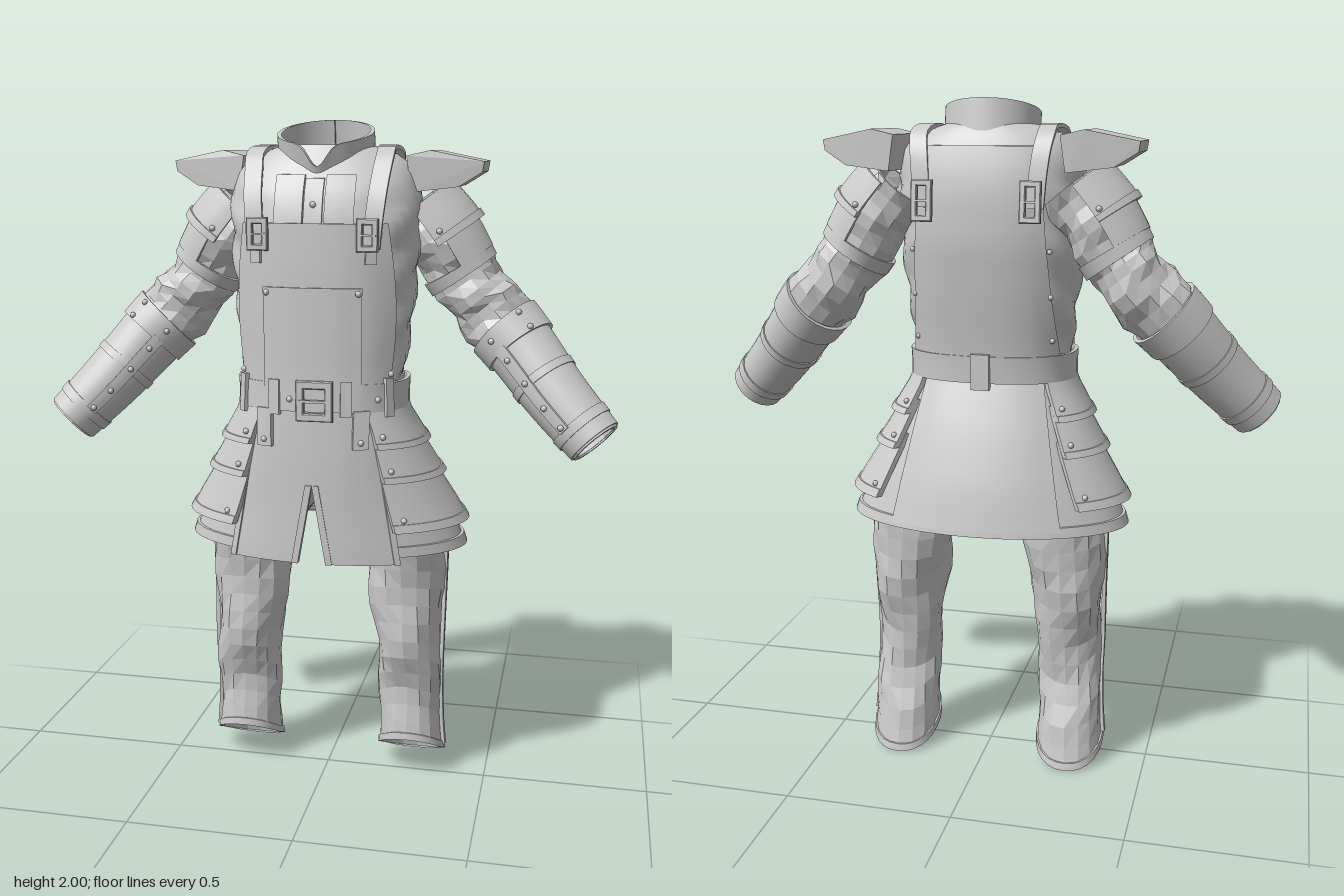
import * as THREE from 'three';
import { mergeGeometries, toCreasedNormals } from 'three/addons/utils/BufferGeometryUtils.js';
import { ConvexGeometry } from 'three/addons/geometries/ConvexGeometry.js';

const V = (x, y, z) => new THREE.Vector3(x, y, z);
const { lerp, clamp, smoothstep } = THREE.MathUtils;
const PI = Math.PI;
const smoothMat = new THREE.MeshStandardMaterial({ color: 0xcccccc, side: THREE.DoubleSide });
const foldMat = new THREE.MeshStandardMaterial({ color: 0xcccccc, side: THREE.DoubleSide, flatShading: true });

// Cross-section tables, bottom to top
const BODY = [ // y, half width, front z, back z
  [0.74, 0.425, 0.225, -0.25], [0.78, 0.415, 0.225, -0.245], [0.9, 0.365, 0.222, -0.22], [1.05, 0.295, 0.22, -0.17],
  [1.2, 0.232, 0.215, -0.11], [1.3, 0.235, 0.212, -0.12], [1.45, 0.255, 0.212, -0.145], [1.6, 0.268, 0.212, -0.165],
  [1.72, 0.275, 0.208, -0.165], [1.8, 0.272, 0.185, -0.155], [1.86, 0.255, 0.15, -0.14], [1.9, 0.215, 0.125, -0.12],
  [1.93, 0.125, 0.11, -0.1]];
const LEG = [ // y, centre x, half width, front z, back z
  [0, 0.267, 0.106, 0.082, -0.16], [0.15, 0.262, 0.096, 0.062, -0.128], [0.27, 0.26, 0.093, 0.052, -0.102],
  [0.4, 0.255, 0.1, 0.09, -0.108], [0.55, 0.247, 0.11, 0.1, -0.148], [0.7, 0.242, 0.118, 0.105, -0.165],
  [0.8, 0.225, 0.135, 0.115, -0.16], [0.9, 0.175, 0.17, 0.13, -0.15], [1.15, 0.1, 0.13, 0.14, -0.09]];
const ARM_RADII = [0.1, 0.108, 0.1, 0.104, 0.098, 0.088, 0.077];
const armCurve = new THREE.CatmullRomCurve3([V(0.25, 1.76, -0.07), V(0.325, 1.665, -0.07), V(0.395, 1.555, -0.075),
  V(0.465, 1.465, -0.075), V(0.55, 1.375, -0.045), V(0.67, 1.235, 0.02), V(0.8, 1.1, 0.08)]);

function sample(table, y) {
  let i = 0;
  while (i < table.length - 2 && table[i + 1][0] < y) i++;
  const k = clamp((y - table[i][0]) / (table[i + 1][0] - table[i][0]), 0, 1);
  return table[i].slice(1).map((v, j) => lerp(v, table[i + 1][j + 1], k));
}
const pw = (c, e) => Math.sign(c) * Math.abs(c) ** (2 / e);
// The torso is boxier than the skirt
const squareness = y => lerp(2, 2.4, smoothstep(y, 0.85, 1.2));

// Surfaces: angle 0 is the front, growing towards +x; d is the offset outwards
function bodyAt(a, y, d = 0) {
  const [rx, zf, zb] = sample(BODY, y), e = squareness(y);
  return V(pw(Math.sin(a), e) * (rx + d), y, (zf + zb) / 2 + pw(Math.cos(a), e) * ((zf - zb) / 2 + d));
}
function faceAt(x, y, d = 0, back = false) {
  const a = Math.sign(x) * Math.asin(Math.min(1, Math.abs(x) / sample(BODY, y)[0]) ** (squareness(y) / 2));
  return bodyAt(back ? PI - a : a, y, d);
}
function legAt(a, y, d = 0) {
  const [cx, rx, zf, zb] = sample(LEG, y);
  return V(cx + pw(Math.sin(a), 2.2) * (rx + d), y, (zf + zb) / 2 + pw(Math.cos(a), 2.2) * ((zf - zb) / 2 + d));
}
// Angle 0 is the outer, upper side of the arm; a quarter turn is its front
function armAt(a, t, d = 0) {
  const dir = armCurve.getTangent(t), n = V(0, 0, 1).cross(dir).normalize(), b = dir.clone().cross(n);
  const i = Math.min(5, Math.floor(t * 6)), r = lerp(ARM_RADII[i], ARM_RADII[i + 1], t * 6 - i) + d;
  return armCurve.getPoint(t).addScaledVector(n, Math.cos(a) * r).addScaledVector(b, Math.sin(a) * r);
}

// Panel over a surface fn(u, v, d), its border folded inwards to give thickness
function shell(fn, nu, nv, d, depth = 0.012) {
  const pos = [], idx = [], w = nu + 3;
  for (let j = 0; j < nv + 3; j++) for (let i = 0; i < w; i++) {
    const rim = i === 0 || j === 0 || i === nu + 2 || j === nv + 2;
    const u = clamp((i - 1) / nu, 0, 1), v = clamp((j - 1) / nv, 0, 1);
    pos.push(...fn(u, v, rim ? d - depth : d).toArray());
    if (i < w - 1 && j < nv + 2) {
      const p = j * w + i;
      idx.push(p, p + 1, p + w, p + 1, p + w + 1, p + w);
    }
  }
  const g = new THREE.BufferGeometry();
  g.setAttribute('position', new THREE.Float32BufferAttribute(pos, 3));
  g.setIndex(idx);
  return toCreasedNormals(g, 0.7);
}
const bodyPatch = (a0, a1, y0, y1, d, nu, nv = 2) =>
  shell((u, v, e) => bodyAt(lerp(a0, a1, u), lerp(y0, y1, v), e), nu, nv, d);
const armPatch = (a0, a1, t0, t1, d, nu = 20, nv = 2) =>
  shell((u, v, e) => armAt(lerp(a0, a1, u), lerp(t0, t1, v), e), nu, nv, d);
const facePatch = (x0, x1, y0, y1, d, nu = 8, nv = 8) =>
  shell((u, v, e) => faceAt(lerp(x0, x1, u), lerp(y0, y1, v), e), nu, nv, d);

function mirrored(geo) {
  const g = geo.index ? geo.toNonIndexed() : geo.clone();
  g.scale(-1, 1, 1);
  for (const { array } of [g.attributes.position, g.attributes.normal])
    for (let i = 0; i < array.length; i += 9)
      for (let k = 0; k < 3; k++) [array[i + k], array[i + 6 + k]] = [array[i + 6 + k], array[i + k]];
  return g;
}
const studs = (points, r = 0.009) => mergeGeometries(points.map(p => new THREE.SphereGeometry(r, 8, 6).translate(p.x, p.y, p.z)));
// Rectangular buckle with a prong
function buckle(w, h, bar, x, y, z) {
  const rect = (P, a, b) => {
    const s = new P();
    s.moveTo(-a, -b); s.lineTo(a, -b); s.lineTo(a, b); s.lineTo(-a, b); s.closePath();
    return s;
  };
  const s = rect(THREE.Shape, w / 2, h / 2);
  s.holes.push(rect(THREE.Path, w / 2 - bar, h / 2 - bar));
  const frame = new THREE.ExtrudeGeometry(s, { depth: 0.01, bevelSize: 0.003, bevelThickness: 0.004, bevelSegments: 1 });
  const prong = new THREE.BoxGeometry(w * 0.9, bar * 0.45, 0.012).toNonIndexed().translate(0, 0, 0.01);
  return mergeGeometries([frame, prong]).translate(x, y, z);
}

export function createModel() {
  const model = new THREE.Group();
  model.name = 'tunicOutfit';
  const put = (name, geo, mat = smoothMat) => {
    const m = new THREE.Mesh(geo, mat);
    m.name = name;
    model.add(m);
  };
  const pair = (name, geo, mat) => {
    put('left' + name, geo, mat);
    put('right' + name, mirrored(geo), mat);
  };

  // Torso with creases at the sides, and the back of the vest
  put('torso', shell((u, v, d) => {
    const a = u * 2 * PI, y = lerp(1.18, 1.93, v);
    const fold = y < 1.8 ? 0.007 * Math.sin(5 * Math.abs(a - PI) + 42 * y) * Math.sin(a) ** 2 : 0;
    return bodyAt(a, y, d + fold);
  }, 48, 30, 0));
  put('backPlate', shell((u, v, d) => {
    const y = lerp(1.24, 1.87, v);
    return faceAt((1 - 2 * u) * lerp(0.215, 0.165, v ** 0.7), y, d, true);
  }, 14, 14, 0.014));

  // Collar, higher behind, leaning forward, with a notch in front
  put('collar', shell((u, v, d) => {
    const a = lerp(-PI, PI, u), dip = Math.exp(-((a / 0.25) ** 2));
    const y = lerp(1.885 - 0.015 * Math.cos(a) - 0.045 * dip, 1.965 - 0.035 * Math.cos(a) - 0.06 * dip, v);
    return V(Math.sin(a) * (0.133 + d), y, lerp(0.015, 0.03, v) + Math.cos(a) * (0.124 + d));
  }, 60, 3, 0.006));
  put('collarPlacket', facePatch(-0.025, 0.025, 1.7, 1.84, 0.012, 2, 4));
  pair('Yoke', facePatch(0.03, 0.11, 1.7, 1.85, 0.008, 4, 5));

  // Bib and pocket
  put('bib', shell((u, v, d) => faceAt((2 * u - 1) * lerp(0.195, 0.215, Math.sin(v * PI)), lerp(1.24, 1.72, v), d), 12, 10, 0.016));
  put('bibPocket', facePatch(-0.13, 0.13, 1.25, 1.545, 0.021, 8, 6));
  put('bibPocketHem', facePatch(-0.13, 0.13, 1.525, 1.545, 0.024, 8, 1));

  // Shoulder straps with buckles at both ends
  const strapCurve = new THREE.CatmullRomCurve3([
    ...[1.65, 1.73, 1.8, 1.86, 1.9].map(y => faceAt(0.155, y, 0.012)), V(0.155, 1.918, 0),
    ...[1.9, 1.86, 1.8, 1.7].map(y => faceAt(0.155, y, 0.012, true))]);
  pair('ShoulderStrap', shell((u, v, d) => {
    const t = strapCurve.getTangent(v);
    return strapCurve.getPoint(v).add(V((u - 0.5) * 0.05 + 0.022 * Math.sin(v * PI), -t.z * d, t.y * d));
  }, 2, 30, 0.012));
  pair('FrontStrapBuckle', buckle(0.055, 0.085, 0.012, 0.155, 1.69, 0.214));
  pair('FrontStrapTip', facePatch(0.138, 0.165, 1.61, 1.66, 0.024, 2, 2));
  pair('BackStrapBuckle', buckle(0.055, 0.11, 0.012, 0, 0, 0).rotateY(PI).rotateX(0.1).translate(0.155, 1.72, -0.182));

  // Belt, buckle and hanging tabs
  put('belt', bodyPatch(-PI, PI, 1.195, 1.275, 0.018, 48));
  put('beltBuckle', buckle(0.1, 0.11, 0.017, 0.01, 1.228, 0.234));
  for (const x of [-0.1, 0.09]) put('beltLoop', facePatch(x - 0.014, x + 0.014, 1.185, 1.285, 0.026, 1, 1));
  put('backBeltLoop', new THREE.BoxGeometry(0.055, 0.105, 0.02).translate(0, 1.23, -0.135));
  pair('BeltTab', facePatch(0.11, 0.15, 1.09, 1.2, 0.024, 2, 3));
  pair('SideBeltLoop', bodyPatch(0.85, 0.98, 1.18, 1.29, 0.026, 1, 1));

  // Skirt: under layer with hem, split apron, back panel and tiers of side flaps
  put('underskirt', bodyPatch(0.45, 2 * PI - 0.45, 0.77, 1.22, 0, 48, 10));
  put('underskirtHem', bodyPatch(0.45, 2 * PI - 0.45, 0.765, 0.795, 0.008, 48, 1));
  const apron = (from, to, y0, y1, d) => shell((u, v, e) => {
    const y = lerp(y0, y1, v), slit = Math.max(0, (0.98 - y) * 0.17), edge = 0.17 + (1.2 - y) * 0.17;
    return faceAt(lerp(slit, edge, lerp(from, to, u)), y, e);
  }, 8, 14, d);
  pair('ApronPanel', apron(0, 1, 0.745, 1.22, 0.012));
  pair('ApronSlitTrim', apron(0, 0.09, 0.745, 0.98, 0.016));
  pair('ApronSideTrim', apron(0.92, 1, 0.745, 1.1, 0.016));
  put('backSkirtPanel', shell((u, v, d) => {
    const y = lerp(0.78, 1.2, v);
    return faceAt((1 - 2 * u) * lerp(0.25, 0.17, v), y, d, true);
  }, 12, 8, 0.01));
  [[1.09, 1.22, 0.022], [0.99, 1.13, 0.024], [0.845, 1.03, 0.03]].forEach(([y0, y1, flare], i) => {
    const flap = (a0, a1, v0, v1, e) => shell((u, v, d) => {
      const k = lerp(v0, v1, v);
      return bodyAt(lerp(a0, a1, u), lerp(y0, y1, k), d + flare * (1 - k));
    }, 14, 3, e, 0.016);
    pair('SideFlap' + (i + 1), flap(0.6, 2.35, 0, 1, 0.01));
    pair('SideFlapHem' + (i + 1), flap(0.6, 2.35, 0, 0.13, 0.014));
    pair('SideFlapStuds' + (i + 1), studs([0.7, 2.25].map(a => bodyAt(a, y0 + 0.035, 0.011 + flare * 0.8))));
  });

  // Sleeves with folds, arm bands and bracers
  pair('Sleeve', shell((u, v, d) => {
    const a = u * 2 * PI, t = v * 0.99;
    const fold = t < 0.62 ? 0.008 * Math.sin(2 * a + t * 26) + 0.005 * Math.sin(3 * a - t * 38) : 0;
    return armAt(a, t, d + fold);
  }, 14, 20, 0), foldMat);
  pair('UpperArmBand', armPatch(0, 2 * PI, 0.28, 0.325, 0.012));
  pair('Bracer', armPatch(0, 2 * PI, 0.64, 0.985, 0.006, 24, 6));
  pair('BracerCuff', armPatch(0, 2 * PI, 0.6, 0.69, 0.015, 24));
  pair('BracerBand', armPatch(0, 2 * PI, 0.78, 0.8, 0.01, 24, 1));
  pair('WristBand', armPatch(0, 2 * PI, 0.925, 0.95, 0.01, 24, 1));
  pair('BracerStrip', armPatch(1.75, 2.1, 0.68, 0.93, 0.016, 3, 5));
  pair('BracerStuds', studs([0.64, 0.72, 0.79, 0.86, 0.92].map(t => armAt(1.92, t, 0.018))
    .concat([0.62, 0.68].map(t => armAt(0.9, t, 0.015)))));

  // Shoulder armour: block above overlapping curved plates
  const block = [];
  for (const [x, y, z0, z1] of [[0.235, 1.9, -0.19, 0.06], [0.25, 1.8, -0.19, 0.06], [0.3, 1.915, -0.185, 0.045],
    [0.45, 1.885, -0.165, 0.03], [0.445, 1.855, -0.165, 0.03], [0.38, 1.815, -0.175, 0.04]])
    block.push(V(x, y, z0), V(x, y, z1));
  pair('ShoulderBlock', new ConvexGeometry(block));
  pair('ShoulderPlate', armPatch(-1.4, 1.6, 0.01, 0.18, 0.027, 14, 4));
  pair('ShoulderPlateTrim', armPatch(-1.4, 1.6, 0.155, 0.18, 0.032, 14, 1));
  pair('LowerShoulderPlate', armPatch(-1.4, 1.4, 0.16, 0.28, 0.014, 14, 3));
  pair('ShoulderStuds', studs([-1.25, 1.4].map(a => armAt(a, 0.14, 0.028))));

  // Trouser legs, joined at the hips and cut on a slope at the ankle
  const ankle = a => 0.065 + 0.065 * Math.cos(a);
  pair('TrouserLeg', shell((u, v, d) => {
    const a = u * 2 * PI, y = lerp(ankle(a), 1.15, v);
    const fold = v > 0.06 ? 0.006 * Math.sin(2 * a + y * 17) + 0.005 * Math.sin(3 * a - y * 24) : 0;
    return legAt(a, y, d + fold);
  }, 16, 18, 0), foldMat);
  pair('TrouserHem', shell((u, v, d) => legAt(u * 2 * PI, ankle(u * 2 * PI) + v * 0.022, d), 28, 1, 0.004));
  pair('TrouserSeam', shell((u, v, d) => legAt(lerp(1.45, 1.63, u), lerp(0.085, 0.8, v), d), 2, 18, 0.01));

  // Rivets on bib, belt, tabs and placket
  put('bibRivets', studs([[-0.12, 1.53, 0.025], [0.12, 1.53, 0.025], [-0.2, 1.3, 0.018], [0.2, 1.3, 0.018], [-0.06, 1.23, 0.018],
    [0.17, 1.23, 0.018], [0.13, 1.11, 0.024], [-0.13, 1.11, 0.024], [0, 1.77, 0.013]].map(p => faceAt(...p))));
  pair('BackRivets', studs([1.32, 1.45, 1.58].map(y => faceAt(0.19, y, 0.014, true)), 0.008));
  return model;
}
